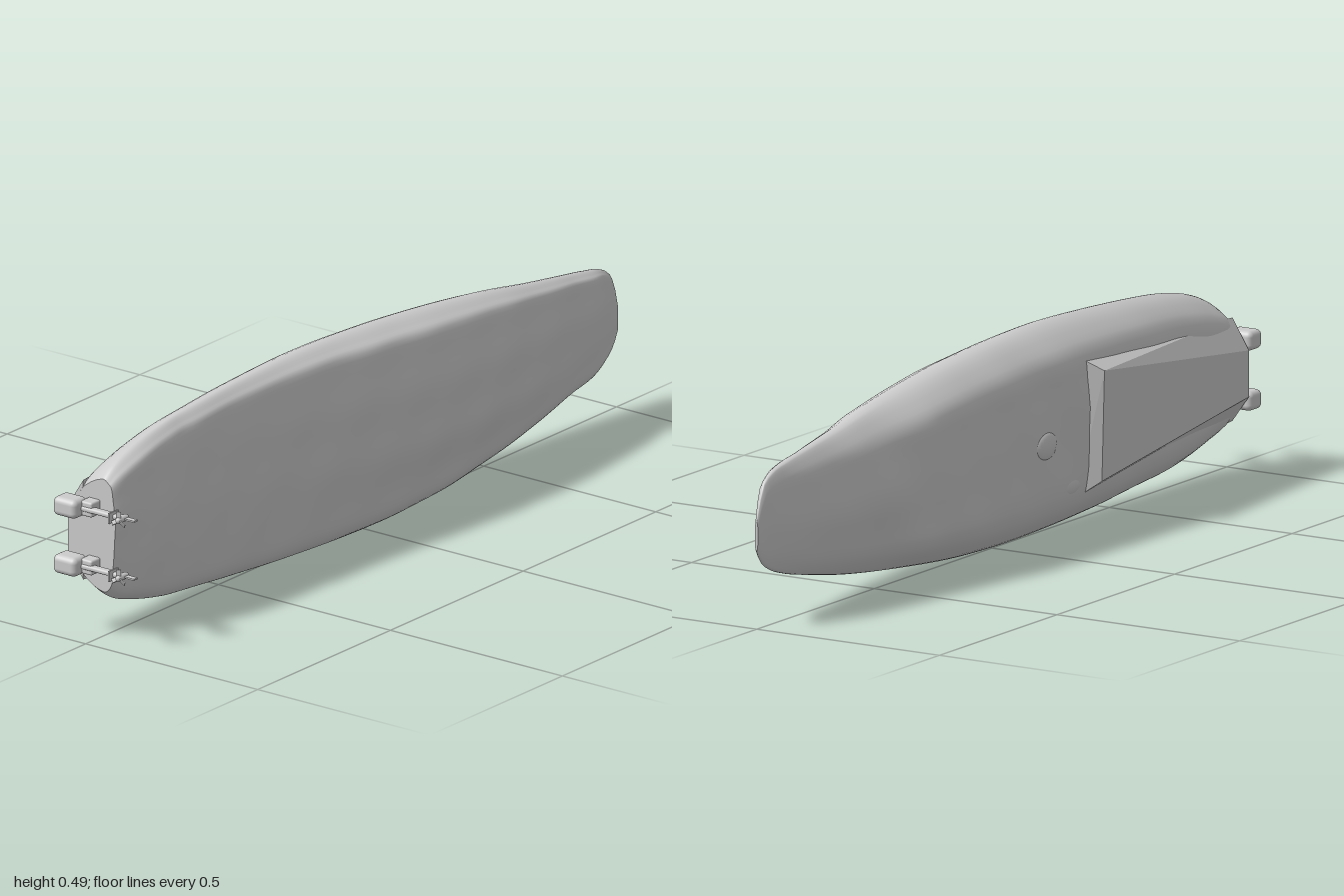
import * as THREE from 'three';
import { RoundedBoxGeometry } from 'three/addons/geometries/RoundedBoxGeometry.js';

const material = new THREE.MeshStandardMaterial({ color: 0xcccccc, roughness: 0.8 });

function add(parent, name, geometry, x = 0, y = 0, z = 0) {
  const mesh = new THREE.Mesh(geometry, material);
  mesh.name = name;
  mesh.position.set(x, y, z);
  parent.add(mesh);
  return mesh;
}

// Hull stations from stern to bow: x, bottom y, top y, front z, back z
const stations = [
  [-0.94, 0.112, 0.388, 0.038, -0.068], [-0.92, 0.095, 0.405, 0.045, -0.072],
  [-0.85, 0.07, 0.435, 0.055, -0.076], [-0.72, 0.042, 0.463, 0.055, -0.082],
  [-0.6, 0.031, 0.475, 0.057, -0.086], [-0.4, 0.014, 0.488, 0.067, -0.092],
  [-0.2, 0.004, 0.494, 0.088, -0.094], [0, 0.001, 0.486, 0.107, -0.09],
  [0.2, 0.009, 0.47, 0.113, -0.088], [0.4, 0.028, 0.447, 0.1, -0.087],
  [0.52, 0.042, 0.43, 0.087, -0.083], [0.65, 0.061, 0.407, 0.069, -0.066],
  [0.8, 0.09, 0.384, 0.048, -0.042], [0.87, 0.106, 0.373, 0.047, -0.03],
  [0.94, 0.13, 0.355, 0.026, -0.018], [0.975, 0.152, 0.326, 0.015, -0.01],
  [1, 0.185, 0.255, 0.005, -0.004],
];
// Section outline: height fraction, depth fraction (positive is the keel side)
const section = [
  [1, 0.12], [0.97, 0.5], [0.92, 0.77], [0.8, 0.88], [0.66, 0.98], [0.5, 1], [0.36, 1],
  [0.2, 0.88], [0.09, 0.8], [0.02, 0.5], [0, 0.15], [0.05, -0.45], [0.18, -0.95],
  [0.3, -1], [0.7, -1], [0.82, -0.95], [0.94, -0.5],
];

function hullGeometry() {
  const rings = 120, sides = 72;
  const interpolant = new THREE.CubicInterpolant(
    stations.map(s => s[0]), stations.flatMap(s => s.slice(1)), 4);
  const outline = new THREE.CatmullRomCurve3(
    section.map(([u, v]) => new THREE.Vector3(0, u, v)), true).getPoints(sides).slice(0, sides);
  const positions = [], index = [];
  const addRing = x => {
    const [yb, yt, zf, zb] = interpolant.evaluate(x);
    // The flat deck turns into a ridge toward the bow
    const ridge = 0.45 * THREE.MathUtils.smoothstep(x, 0.35, 0.6);
    for (const p of outline) {
      const y = yb + (yt - yb) * p.y;
      // Soft dents in the skin, fading out at the bow, and a crosswise crease near each end
      const dent = 0.002 * Math.sin(13 * x + 17 * y) * Math.sin(29 * y - 9 * x)
        + 0.001 * Math.sin(31 * x - 23 * y)
        - (p.z > 0 ? 0.004 * Math.exp(-(((x + 0.68) / 0.03) ** 2)) : 0);
      const back = THREE.MathUtils.lerp(p.z, Math.max(p.z, Math.abs(2 * p.y - 1) - 1), ridge);
      const z = (p.z > 0 ? p.z * zf : -back * zb) + dent * Math.abs(p.z) * Math.min(1, (1 - x) * 6);
      positions.push(x, y, z);
    }
  };
  for (let i = 0; i <= rings; i++) addRing(-0.94 + 1.94 * i / rings);
  for (let i = 0; i < rings; i++) {
    for (let j = 0; j < sides; j++) {
      const a = i * sides + j, b = i * sides + (j + 1) % sides;
      index.push(a, b, a + sides, b, b + sides, a + sides);
    }
  }
  // Flat transom and a tiny bow cap, with their own corners to keep the edge sharp
  for (const [x, bow] of [[-0.94, false], [1, true]]) {
    const start = positions.length / 3;
    addRing(x);
    const [yb, yt, zf, zb] = interpolant.evaluate(x);
    positions.push(x, (yb + yt) / 2, (zf + zb) / 2);
    for (let j = 0; j < sides; j++) {
      const a = start + j, b = start + (j + 1) % sides;
      index.push(start + sides, bow ? a : b, bow ? b : a);
    }
  }
  const geometry = new THREE.BufferGeometry();
  geometry.setAttribute('position', new THREE.Float32BufferAttribute(positions, 3));
  geometry.setIndex(index);
  geometry.computeVertexNormals();
  return geometry;
}

// Box whose outer face narrows to a ridge at the stern and ends forward in a steep step
function coverGeometry() {
  const geometry = new THREE.BoxGeometry(1, 1, 1).toNonIndexed();
  const p = geometry.attributes.position;
  for (let i = 0; i < p.count; i++) {
    const fore = p.getX(i) > 0, high = p.getY(i) > 0, outer = p.getZ(i) < 0;
    const x = fore ? (outer ? -0.285 : -0.25) : -0.938;
    const y = high ? (outer ? (fore ? 0.38 : 0.3) : (fore ? 0.415 : 0.372))
      : (outer ? (fore ? 0.118 : 0.19) : (fore ? 0.08 : 0.128));
    const z = outer ? (fore ? (high ? -0.125 : -0.118) : -0.1) : (fore ? -0.07 : -0.055);
    p.setXYZ(i, x, y, z);
  }
  geometry.computeVertexNormals();
  return geometry;
}

function createMotor(y) {
  const motor = new THREE.Group();
  motor.name = 'outboardMotor';
  motor.position.set(-0.97, y, 0);
  add(motor, 'motorCowling', new RoundedBoxGeometry(0.054, 0.046, 0.068, 3, 0.014), -0.003, 0, -0.066);
  add(motor, 'motorBracket', new RoundedBoxGeometry(0.04, 0.036, 0.035, 2, 0.005), 0.018, 0, -0.022);
  add(motor, 'motorLeg', new RoundedBoxGeometry(0.02, 0.012, 0.13, 2, 0.005), 0.004, 0, 0.025);
  add(motor, 'cavitationPlate', new THREE.BoxGeometry(0.034, 0.026, 0.004), -0.002, 0, 0.058);
  add(motor, 'skeg', new THREE.BoxGeometry(0.014, 0.004, 0.035), 0.006, 0, 0.1);
  // Gear case with a three-bladed propeller
  const gearCase = add(motor, 'gearCase', new THREE.CapsuleGeometry(0.008, 0.026, 4, 12), 0, 0, 0.083);
  gearCase.rotation.z = Math.PI / 2;
  for (let i = 0; i < 3; i++) {
    const pivot = new THREE.Group();
    pivot.name = 'propellerBlade';
    pivot.position.set(-0.014, 0, 0.083);
    pivot.rotation.x = i * Math.PI * 2 / 3;
    add(pivot, 'blade', new THREE.BoxGeometry(0.003, 0.018, 0.011), 0, 0.012, 0).rotation.y = 0.5;
    motor.add(pivot);
  }
  return motor;
}

export function createModel() {
  const model = new THREE.Group();
  model.name = 'coveredBoat';
  add(model, 'hull', hullGeometry());
  add(model, 'raisedCover', coverGeometry());

  // Small bulges in the deck ahead of the raised cover
  const bulge = new THREE.SphereGeometry(1, 24, 16);
  add(model, 'deckBulge', bulge, -0.09, 0.235, -0.088).scale.set(0.045, 0.034, 0.014);
  add(model, 'deckBulge', bulge, -0.2, 0.12, -0.08).scale.set(0.05, 0.025, 0.015);

  for (const y of [0.175, 0.317]) model.add(createMotor(y));
  return model;
}
